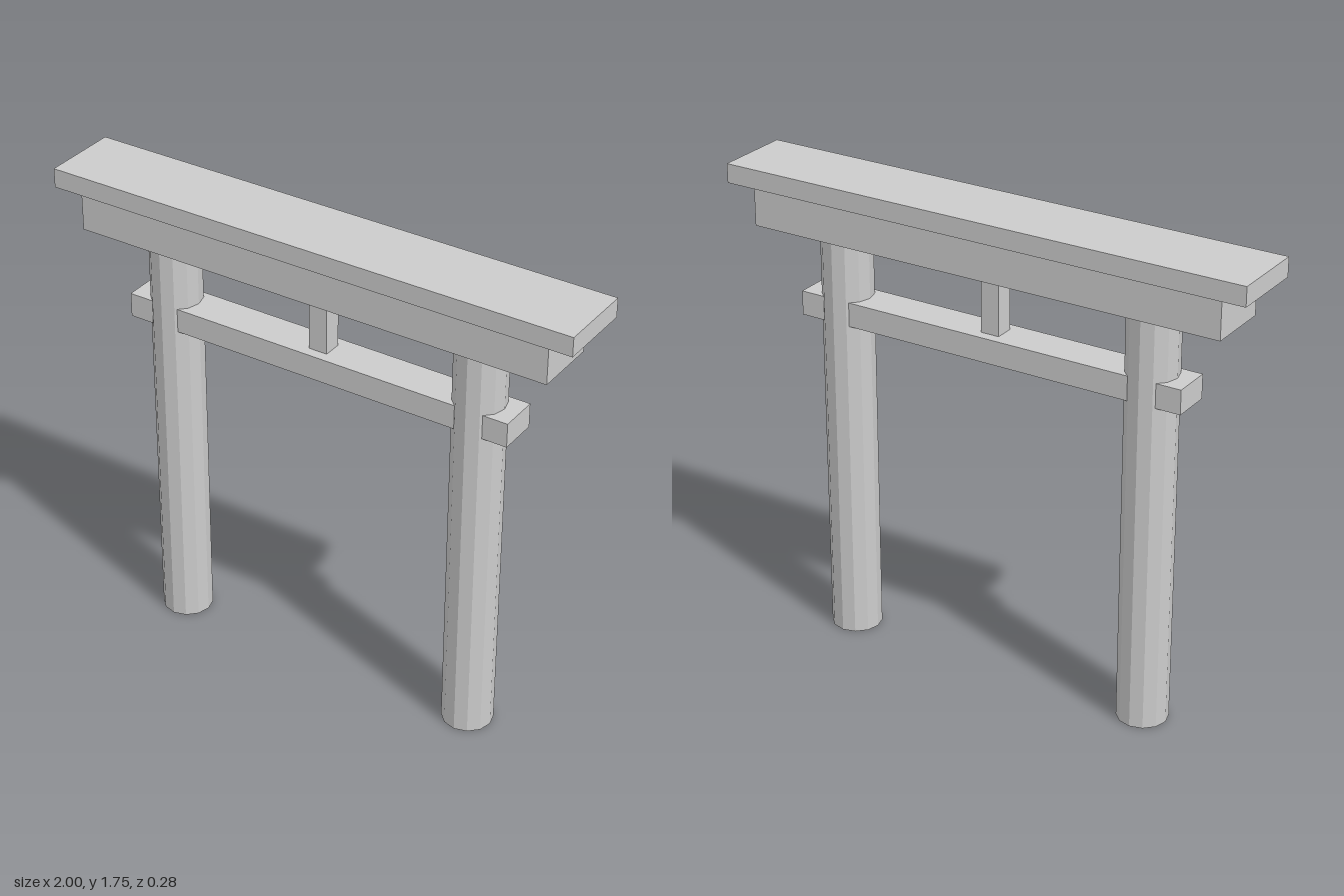
import * as THREE from 'three';

export function createModel() {
  const gate = new THREE.Group();
  gate.name = 'gate';

  const stone = new THREE.MeshStandardMaterial({ color: 0xcccccc });
  stone.name = 'pale grey';
  stone.flatShading = true;

  // Adds a part standing on height y
  const add = (name, geometry, height, x, y) => {
    const mesh = new THREE.Mesh(geometry, stone);
    mesh.name = name;
    mesh.position.set(x, y + height / 2, 0);
    gate.add(mesh);
  };
  const beam = (name, width, bottom, top, depth) =>
    add(name, new THREE.BoxGeometry(width, top - bottom, depth), top - bottom, 0, bottom);

  // Twelve-sided pillars
  const pillarHeight = 1.537;
  for (const [name, side] of [['leftPillar', 1], ['rightPillar', -1]]) {
    const pillar = new THREE.CylinderGeometry(0.092, 0.092, pillarHeight, 12);
    add(name, pillar, pillarHeight, side * 0.605, 0);
  }

  // Tie beam through both pillars, with the short strut above it
  beam('tieBeam', 1.5, 1.222, 1.311, 0.146);
  beam('centreStrut', 0.07, 1.311, 1.537, 0.07);

  // Lintel and the wider cap slab
  beam('lintel', 1.81, 1.537, 1.682, 0.238);
  beam('capSlab', 2, 1.682, 1.752, 0.285);

  return gate;
}
